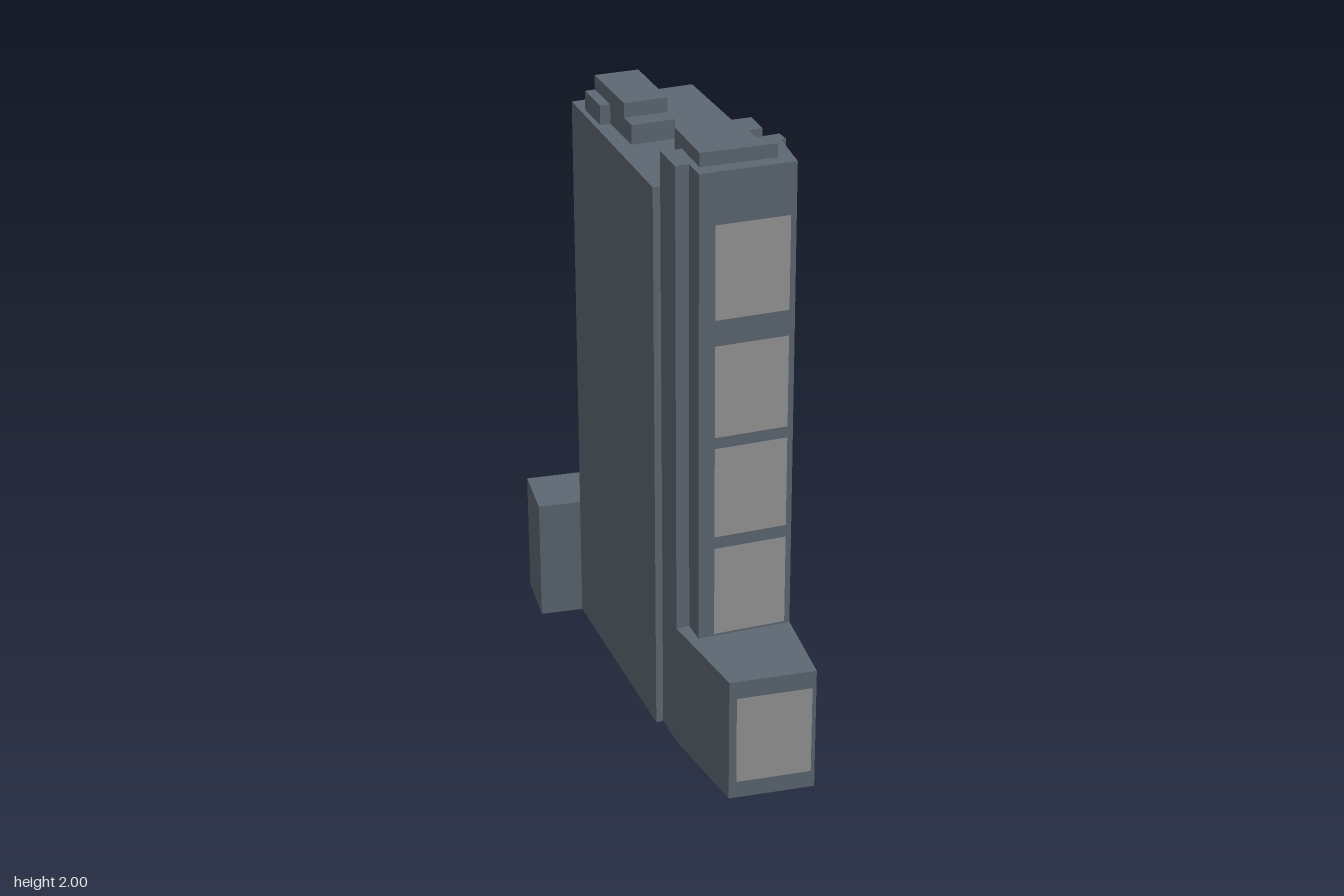
import * as THREE from 'three';

const slate = new THREE.MeshStandardMaterial({ color: 0x5d6873, side: THREE.DoubleSide, flatShading: true });
const grey = new THREE.MeshStandardMaterial({ color: 0x979797, side: THREE.DoubleSide });

// Upright walls along a plan path of [x, z] points, clockwise from above
function walls(path, y0, y1, closed = false) {
  const pos = [];
  const n = closed ? path.length : path.length - 1;
  for (let i = 0; i < n; i++) {
    const [ax, az] = path[i], [bx, bz] = path[(i + 1) % path.length];
    pos.push(ax, y0, az, ax, y1, az, bx, y1, bz, ax, y0, az, bx, y1, bz, bx, y0, bz);
  }
  const g = new THREE.BufferGeometry();
  g.setAttribute('position', new THREE.Float32BufferAttribute(pos, 3));
  g.computeVertexNormals();
  return g;
}

// Flat roof over a plan outline
function roof(outline, y) {
  const shape = new THREE.Shape(outline.map(([x, z]) => new THREE.Vector2(x, -z)));
  return new THREE.ShapeGeometry(shape).rotateX(-Math.PI / 2).translate(0, y, 0);
}

export function createModel() {
  const model = new THREE.Group();
  model.name = 'towerBuilding';
  const add = (name, geometry, material = slate, parent = model) => {
    const mesh = new THREE.Mesh(geometry, material);
    mesh.name = name;
    parent.add(mesh);
  };
  const block = (name, outline, y0, y1) => {
    const group = new THREE.Group();
    group.name = name;
    add(name + 'Walls', walls(outline, y0, y1, true), slate, group);
    add(name + 'Roof', roof(outline, y1), slate, group);
    model.add(group);
  };

  const podiumTop = 0.418, mainTop = 1.847, shaftTop = 1.957;

  // Shared plan corners
  const backLeft = [0.214, -0.526], backRight = [-0.193, -0.526];
  const mainLeft = [0.198, 0.229], joint = [0.18, 0.229], finEnd = [0.18, 0.276], finInner = [0.165, 0.274];
  const shaftLeft = [0.14, 0.447], shaftRight = [-0.16, 0.431];
  const notchIn = [-0.157, 0.35], notchOut = [-0.2, 0.35];
  const mainRight = [-0.219, 0.223], mainStep = [-0.195, 0.222];
  const shaftBack = [[-0.175, 0.221], [-0.175, 0.231]];
  const wing = [[-0.332, -0.548], [-0.302, -0.751], [0.33, -0.66], [0.199, 0.279]];
  const porch = [[0.1, 0.738], [-0.171, 0.7]];

  // Podium, open underneath
  add('podiumWalls', walls([backRight, ...wing, finEnd, finInner, shaftLeft, ...porch,
    notchOut, mainStep, mainRight], 0, podiumTop, true));
  add('podiumBackRoof', roof([...wing, finEnd, joint, mainLeft, backLeft, backRight], podiumTop));
  add('podiumFrontRoof', roof([shaftLeft, ...porch, notchOut, notchIn, shaftRight], podiumTop));

  // Main tower
  add('mainTowerWalls', walls([mainStep, mainRight, backRight, backLeft, mainLeft, joint], podiumTop, mainTop));
  add('mainTowerRoof', roof([mainStep, mainRight, backRight, backLeft, mainLeft, joint,
    ...[...shaftBack].reverse()], mainTop));

  // Taller front shaft
  const shaft = [joint, finEnd, finInner, shaftLeft, shaftRight, notchIn, notchOut, mainStep];
  add('frontShaftWalls', walls(shaft, podiumTop, shaftTop));
  add('frontShaftBackWalls', walls([mainStep, ...shaftBack, joint], mainTop, shaftTop));
  add('frontShaftRoof', roof([...shaft, ...shaftBack], shaftTop));

  // Rooftop plant rooms
  block('frontPlantRoom', [[-0.127, 0.168], [0.111, 0.178], [0.106, 0.271], [0.06, 0.273],
    [0.06, 0.333], [0.107, 0.338], [0.1, 0.398], [-0.138, 0.383]], mainTop, 2);
  block('backPlantRoom', [[-0.147, -0.441], [-0.004, -0.436], [-0.012, -0.174], [-0.152, -0.178]], mainTop, shaftTop);
  block('backPlantStep', [[-0.152, -0.178], [-0.012, -0.174], [-0.014, -0.11], [-0.154, -0.112]], mainTop, 1.91);
  block('backPlantSideStep', [[-0.18, -0.44], [-0.147, -0.441], [-0.15, -0.3], [-0.183, -0.302]], mainTop, 1.91);

  // Thin panels standing just off the front faces
  for (const y of [0.45, 0.79, 1.127, 1.51]) {
    add('shaftPanel', walls([[0.105, 0.484], [-0.125, 0.472]], y, y + 0.3), grey);
  }
  add('podiumPanel', walls([[0.08, 0.753], [-0.155, 0.721]], 0.07, 0.37), grey);

  return model;
}
